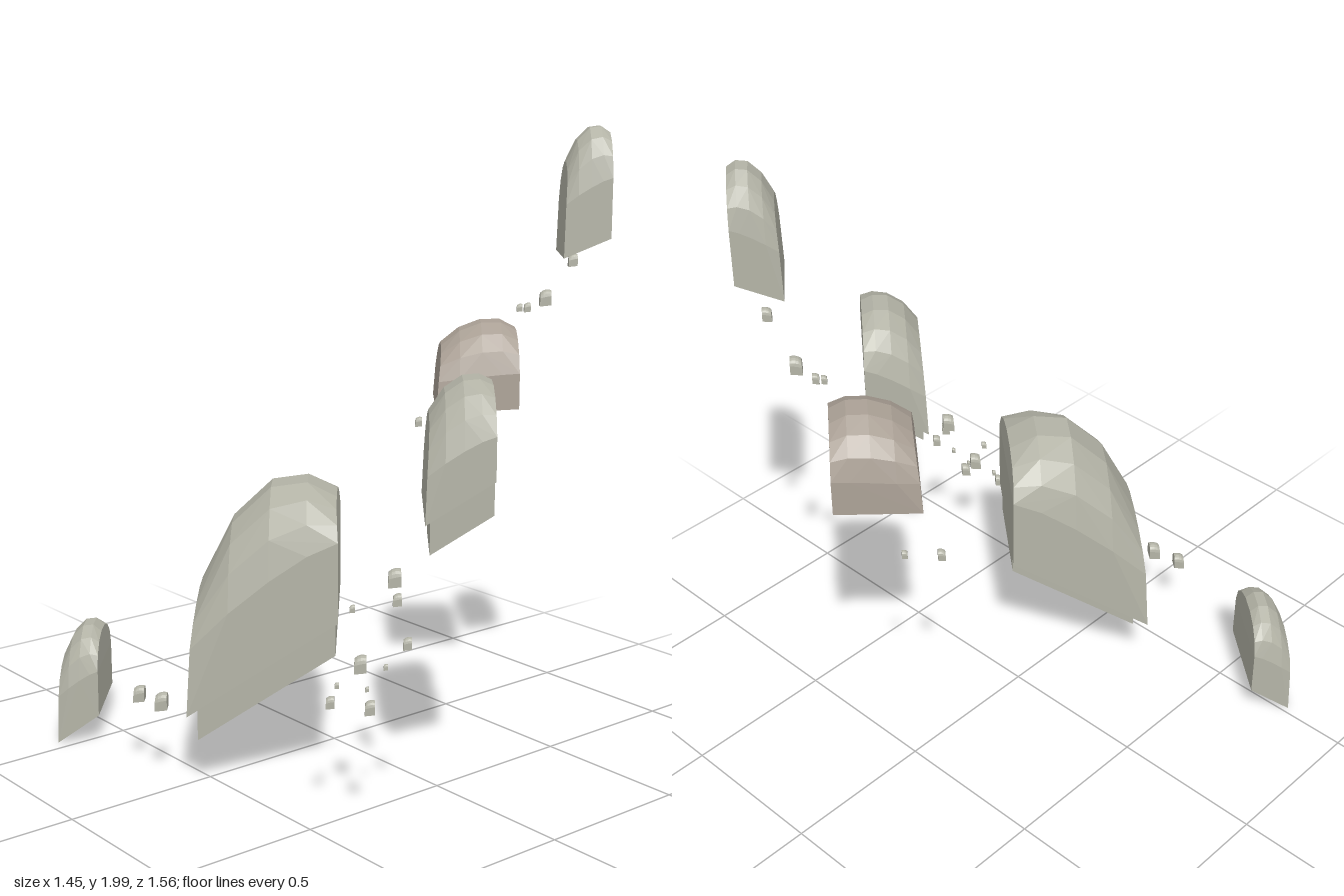
import * as THREE from 'three';
import { ConvexGeometry } from 'three/addons/geometries/ConvexGeometry.js';

// Shared heading of all stones: U points across the slab, V along it
const U = { x: 0.76, z: 0.65 };
const V = { x: 0.65, z: -0.76 };
const stone = new THREE.MeshStandardMaterial({ color: 0xb3b3a6, flatShading: true });
const brownStone = new THREE.MeshStandardMaterial({ color: 0xaba196, flatShading: true });
const lerp = THREE.MathUtils.lerp;

const place = (c, t, s, y) =>
  new THREE.Vector3(c[0] + U.x * t + V.x * s, y, c[1] + U.z * t + V.z * s);

function hull(name, points, material) {
  const mesh = new THREE.Mesh(new ConvexGeometry(points), material);
  mesh.name = name;
  return mesh;
}

// Domed slab: sloping flat base, upright U face, arched top falling away to the -U side.
// base, shoulder and crown are [U side, -U side] heights; top is the summit.
function domePoints({ c, W, L, base, shoulder, crown, top }) {
  const pts = [];
  for (const k of [0, 1]) {
    for (const e of [-1, 1]) pts.push(place(c, W * (0.5 - k), e * L / 2, base[k]));
  }
  for (const k of [0, 0.2, 0.45, 0.72, 1]) {
    const fall = Math.max(0, (k - 0.3) / 0.7) ** 1.8;
    const rise = Math.max(0, (0.3 - k) / 0.3) ** 2;
    const peak = top - (top - crown[1]) * fall - (top - crown[0]) * rise;
    const sh = lerp(shoulder[0], shoulder[1], k ** 1.3);
    const half = L / 2 * (k === 1 ? 0.93 : 0.98);
    for (const deg of [0, 28, 52, 76, 104, 128, 152, 180]) {
      const a = THREE.MathUtils.degToRad(deg);
      const inset = k === 1 ? 0.95 - 0.08 * Math.sin(a) : 1 - 0.03 * Math.sin(a);
      const y = sh + (peak - sh) * Math.min(1, Math.sin(a) * 1.03);
      pts.push(place(c, W * (0.5 - k) * inset, half * Math.cos(a), y));
    }
  }
  return pts;
}

// Stepped block hanging below a slab, set in from the V end
function ledgePoints({ c, W, L, base }, gap, inset) {
  const pts = [];
  for (const k of [0, 1]) {
    const t = W * (k ? -0.43 : 0.485);
    const y = lerp(base[0], base[1], 0.5 - t / W);
    for (const s of [-L / 2 + 0.015, L / 2 - inset]) {
      pts.push(place(c, t, s, y - gap), place(c, t, s, y + 0.02));
    }
  }
  return pts;
}

const slabs = [
  { name: 'lowestStone', c: [-0.57, -0.617], W: 0.135, L: 0.31,
    base: [0.1, 0.005], shoulder: [0.25, 0.16], crown: [0.35, 0.27], top: 0.375 },
  { name: 'largeStone', c: [-0.285, 0.01], W: 0.46, L: 0.47,
    base: [0.54, 0.24], shoulder: [0.79, 0.45], crown: [0.89, 0.6], top: 0.94, ledge: [0.1, 0.1] },
  { name: 'middleStone', c: [0.005, 0.567], W: 0.2, L: 0.4,
    base: [1.03, 0.9], shoulder: [1.16, 1.04], crown: [1.28, 1.19], top: 1.3, ledge: [0.1, 0.1] },
  { name: 'brownStone', c: [0.518, 0.1], W: 0.265, L: 0.34, material: brownStone,
    base: [1.095, 1.08], shoulder: [1.21, 1.18], crown: [1.33, 1.28], top: 1.36 },
  { name: 'highestStone', c: [0.545, 0.537], W: 0.14, L: 0.24,
    base: [1.67, 1.61], shoulder: [1.85, 1.77], crown: [1.98, 1.89], top: 2.0 },
];

// Pebbles: x, y, z of the middle, then size
const pebbles = [
  [-0.635, 0.26, -0.185, 0.05], [-0.62, 0.26, -0.085, 0.055],
  [0.53, 0.97, -0.19, 0.033], [0.605, 0.97, -0.11, 0.025],
  [0.57, 1.41, 0.245, 0.025], [0.585, 1.412, 0.265, 0.03],
  [0.61, 1.447, 0.32, 0.052], [0.615, 1.577, 0.43, 0.04],
  [-0.215, 0.725, 0.54, 0.055], [-0.235, 0.67, 0.575, 0.037],
  [-0.3, 0.625, 0.45, 0.023], [-0.265, 0.565, 0.655, 0.036],
  [-0.345, 0.49, 0.54, 0.052], [-0.4, 0.425, 0.5, 0.018],
  [-0.37, 0.435, 0.6, 0.015], [-0.325, 0.5, 0.63, 0.018],
  [-0.425, 0.38, 0.5, 0.036], [-0.38, 0.39, 0.625, 0.042],
];

export function createModel() {
  const group = new THREE.Group();
  group.name = 'floatingStones';

  // Large stones and their ledges
  for (const s of slabs) {
    const material = s.material || stone;
    group.add(hull(s.name, domePoints(s), material));
    if (s.ledge) group.add(hull(s.name + 'Ledge', ledgePoints(s, ...s.ledge), material));
  }

  // Small drifting pebbles
  pebbles.forEach(([x, y, z, d], i) => {
    const low = y - d * 0.5;
    group.add(hull('pebble' + (i + 1), domePoints({
      c: [x, z], W: d * 0.7, L: d * 0.85,
      base: [low + d * 0.08, low], shoulder: [y + d * 0.15, y],
      crown: [y + d * 0.46, y + d * 0.3], top: y + d * 0.5,
    }), stone));
  });
  return group;
}
